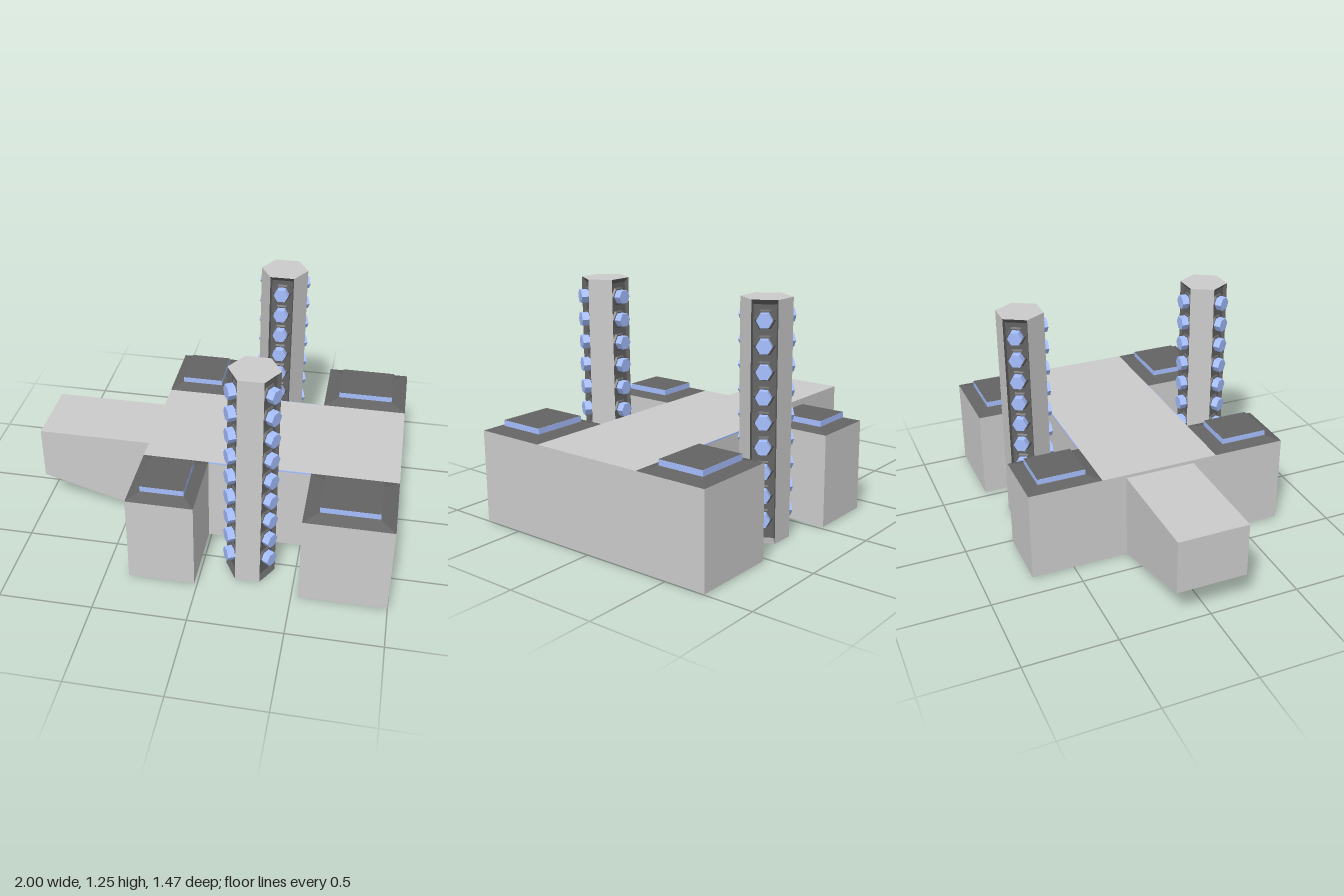
import * as THREE from 'three';

const grey = new THREE.MeshStandardMaterial({ color: 0xcccccc, flatShading: true });
const dark = new THREE.MeshStandardMaterial({ color: 0x636363, flatShading: true });
const blue = new THREE.MeshStandardMaterial({ color: 0xa6bfff, flatShading: true });

function add(parent, name, geometry, material, x = 0, y = 0, z = 0) {
  const mesh = new THREE.Mesh(geometry, material);
  mesh.name = name;
  mesh.position.set(x, y, z);
  parent.add(mesh);
  return mesh;
}

// Four sloped sides from a w x h rectangle at z = 0 to an inner rectangle at z = depth
function bevelFrame(w, h, w2, h2, depth) {
  const corners = [[-1, -1], [1, -1], [1, 1], [-1, 1]];
  const pos = [];
  for (let i = 0; i < 4; i++) {
    const [ax, ay] = corners[i], [bx, by] = corners[(i + 1) % 4];
    const a = [ax * w / 2, ay * h / 2, 0], b = [bx * w / 2, by * h / 2, 0];
    const c = [bx * w2 / 2, by * h2 / 2, depth], d = [ax * w2 / 2, ay * h2 / 2, depth];
    pos.push(...a, ...b, ...c, ...a, ...c, ...d);
  }
  const g = new THREE.BufferGeometry();
  g.setAttribute('position', new THREE.Float32BufferAttribute(pos, 3));
  g.computeVertexNormals();
  return g;
}

function extrude(points, depth) {
  const shape = new THREE.Shape(points.map(([x, y]) => new THREE.Vector2(x, y)));
  return new THREE.ExtrudeGeometry(shape, { depth, bevelEnabled: false });
}

const R = 0.131, APOTHEM = R * Math.cos(Math.PI / 6), HEIGHT = 1.25;
const RECESS = 0.02, PROUD = 0.03;

// Recessed dark channel holding a column of hexagonal bolts
function boltedFace() {
  const face = new THREE.Group();
  face.name = 'boltedFace';
  const w = R - 0.016, h = HEIGHT - 0.05;
  add(face, 'channelWalls', bevelFrame(R, HEIGHT, w, h, -RECESS), dark);
  add(face, 'channelFloor', new THREE.PlaneGeometry(w, h), dark, 0, 0, -RECESS);
  const hex = (top, bottom, length) =>
    new THREE.CylinderGeometry(top, bottom, length, 6).rotateY(Math.PI / 2).rotateX(Math.PI / 2);
  const washer = hex(0.047, 0.055, 0.01);
  const bolt = hex(0.04, 0.04, RECESS + PROUD);
  for (let i = 0; i < 9; i++) {
    const y = 0.132 + i * 0.1275 - HEIGHT / 2;
    add(face, 'washer', washer, dark, 0, y, -RECESS + 0.005);
    add(face, 'bolt', bolt, blue, 0, y, (PROUD - RECESS) / 2);
  }
  return face;
}

// Hexagonal column with plain and bolted faces alternating
function tower() {
  const column = new THREE.Group();
  column.name = 'tower';
  const end = new THREE.CircleGeometry(R, 6);
  add(column, 'towerTop', end, grey, 0, HEIGHT).rotation.x = -Math.PI / 2;
  add(column, 'towerBottom', end, grey).rotation.x = Math.PI / 2;
  for (let i = 0; i < 6; i++) {
    const a = Math.PI / 6 + i * Math.PI / 3;
    const face = i % 2 === 0 ? boltedFace()
      : add(column, 'plainFace', new THREE.PlaneGeometry(R, HEIGHT), grey);
    face.position.set(Math.cos(a) * APOTHEM, HEIGHT / 2, Math.sin(a) * APOTHEM);
    face.rotation.y = Math.PI / 2 - a;
    column.add(face);
  }
  return column;
}

export function createModel() {
  const model = new THREE.Group();
  model.name = 'model';
  const BASE = 0.005, TOP = 0.508, IN = 0.33, OUT = 0.735;

  // H-shaped hull: central body with four corner blocks
  const half = [[1, OUT], [0.537, OUT], [0.537, IN], [-0.015, IN], [-0.015, OUT], [-0.37, OUT]];
  const outline = [...half, ...half.map(([x, z]) => [x, -z]).reverse()];
  add(model, 'hull', extrude(outline, TOP - BASE).rotateX(-Math.PI / 2), grey, 0, BASE);

  // Tapered nose
  const nose = [[-1, 0.188], [-0.37, BASE], [-0.37, 0.49], [-1, 0.49]];
  add(model, 'nose', extrude(nose, 0.39), grey, 0, 0, -0.195);

  for (const side of [1, -1]) {
    // Raised pads on the blocks
    for (const [x0, x1, inset] of [[-0.37, -0.015, 0.062], [0.537, 1, 0.08]]) {
      const pad = new THREE.Group();
      pad.name = 'blockPad';
      pad.position.set((x0 + x1) / 2, TOP, side * (IN + OUT) / 2);
      const w = x1 - x0, d = OUT - IN, pw = w - inset * 2, pd = 0.262;
      add(pad, 'padSkirt', bevelFrame(w, d, pw, pd, 0.02).rotateX(-Math.PI / 2), dark);
      add(pad, 'padRim', new THREE.BoxGeometry(pw, 0.03, pd), blue, 0, 0.035);
      add(pad, 'padTop', new THREE.PlaneGeometry(pw, pd).rotateX(-Math.PI / 2), dark, 0, 0.051);
      model.add(pad);
    }
    // Thin trim along the recess edge
    add(model, 'edgeTrim', new THREE.BoxGeometry(0.552, 0.008, 0.004), blue, 0.261, TOP - 0.004, side * IN);

    const column = tower();
    column.position.set(0.256, 0, side * 0.542);
    column.rotation.y = side > 0 ? 0 : Math.PI;
    model.add(column);
  }
  return model;
}
